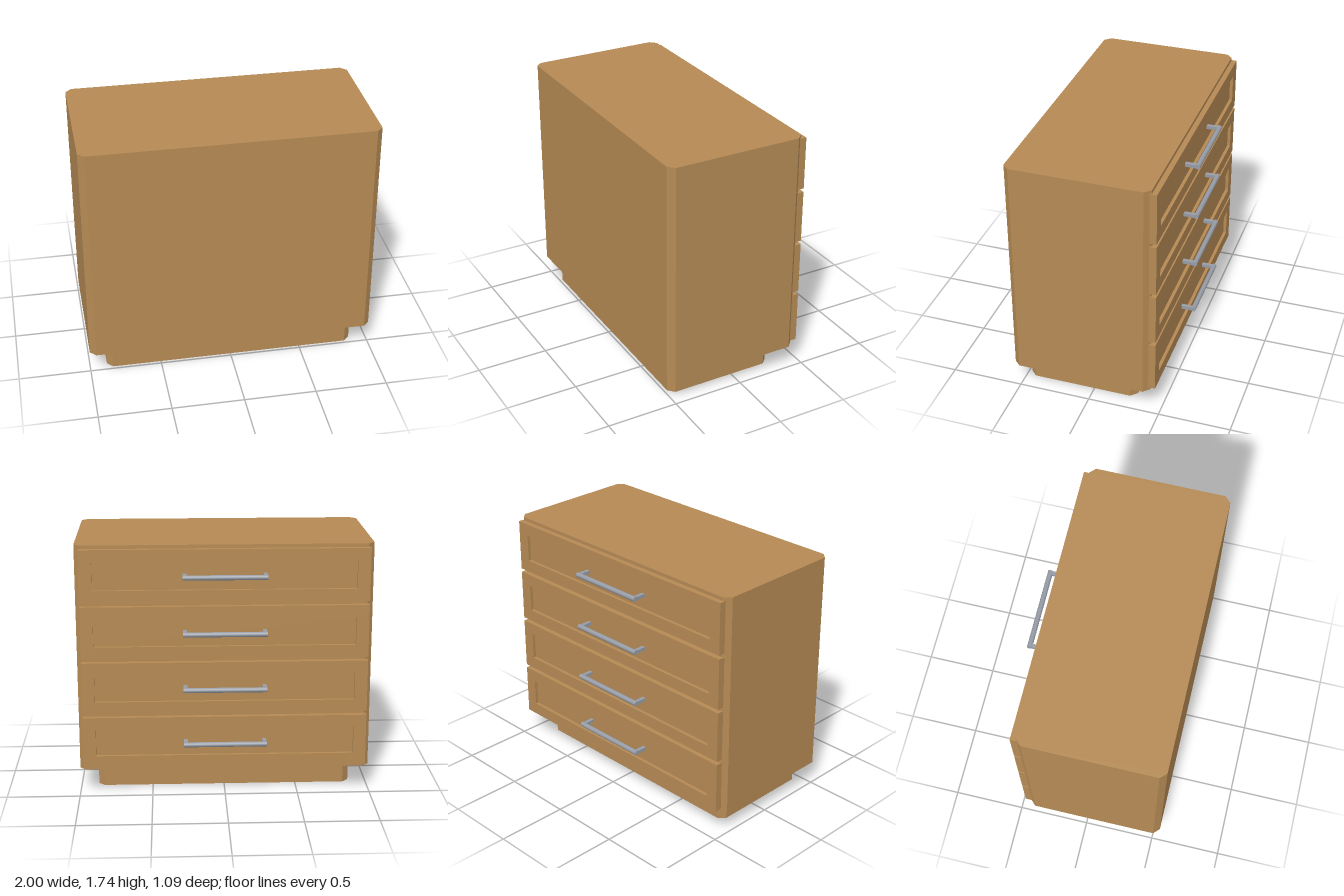
import * as THREE from 'three';

const wood = new THREE.MeshStandardMaterial({ color: 0xb58a54 });
wood.name = 'wood';
const metal = new THREE.MeshStandardMaterial({ color: 0x979ca6 });
metal.name = 'metal';

function addMesh(parent, name, geometry, material, x = 0, y = 0, z = 0) {
  const mesh = new THREE.Mesh(geometry, material);
  mesh.name = name;
  mesh.position.set(x, y, z);
  parent.add(mesh);
  return mesh;
}

// Upright block with chamfered vertical corners, standing on y = 0
function chamferedBlock(w, d, h, c) {
  const x = w / 2, z = d / 2;
  const shape = new THREE.Shape([
    [-x + c, -z], [x - c, -z], [x, -z + c], [x, z - c],
    [x - c, z], [-x + c, z], [-x, z - c], [-x, -z + c],
  ].map(([a, b]) => new THREE.Vector2(a, b)));
  const g = new THREE.ExtrudeGeometry(shape, { depth: h, bevelEnabled: false });
  return g.rotateX(-Math.PI / 2);
}

const rectangle = (Type, w, h) => new Type([
  new THREE.Vector2(-w / 2, -h / 2), new THREE.Vector2(w / 2, -h / 2),
  new THREE.Vector2(w / 2, h / 2), new THREE.Vector2(-w / 2, h / 2),
]);

// Bar pull on two square posts; the drawer face is at z = 0, outwards is -z
function createHandle() {
  const handle = new THREE.Group();
  handle.name = 'handle';
  const bar = new THREE.CylinderGeometry(0.0175, 0.0175, 0.565, 12).rotateZ(Math.PI / 2);
  addMesh(handle, 'handleBar', bar, metal, 0, 0, -0.064);
  for (const side of [-1, 1]) {
    addMesh(handle, 'handlePost', new THREE.BoxGeometry(0.026, 0.024, 0.066), metal, side * 0.268, 0, -0.032);
  }
  return handle;
}

// Drawer front: a frame around a recessed panel, with a handle
function createDrawer() {
  const w = 1.94, h = 0.362, border = 0.086, depth = 0.05, recess = 0.022;
  const drawer = new THREE.Group();
  drawer.name = 'drawer';
  const shape = rectangle(THREE.Shape, w, h);
  shape.holes.push(rectangle(THREE.Path, w - 2 * border, h - 2 * border));
  const frame = new THREE.ExtrudeGeometry(shape, { depth, bevelEnabled: false });
  addMesh(drawer, 'drawerFrame', frame, wood);
  const panel = new THREE.BoxGeometry(w - 2 * border, h - 2 * border, depth - recess);
  addMesh(drawer, 'drawerPanel', panel, wood, 0, 0, (depth + recess) / 2);
  const handle = createHandle();
  // Posts reach from the recessed panel out to the bar
  handle.children.slice(1).forEach((post) => {
    post.scale.z = (0.066 + recess) / 0.066;
    post.position.z += recess / 2;
  });
  handle.position.y = 0.003;
  drawer.add(handle);
  return drawer;
}

export function createModel() {
  const model = new THREE.Group();
  model.name = 'chestOfDrawers';

  // Cabinet and set-back plinth
  addMesh(model, 'plinth', chamferedBlock(1.76, 0.78, 0.168, 0.042), wood, 0, 0, 0.088);
  addMesh(model, 'cabinet', chamferedBlock(2, 0.976, 1.573, 0.042), wood, 0, 0.167, 0.059);

  // Four stacked drawers on the back
  for (let i = 0; i < 4; i++) {
    const drawer = createDrawer();
    drawer.position.set(0, 0.372 + i * 0.3877, -0.465);
    model.add(drawer);
  }
  return model;
}
